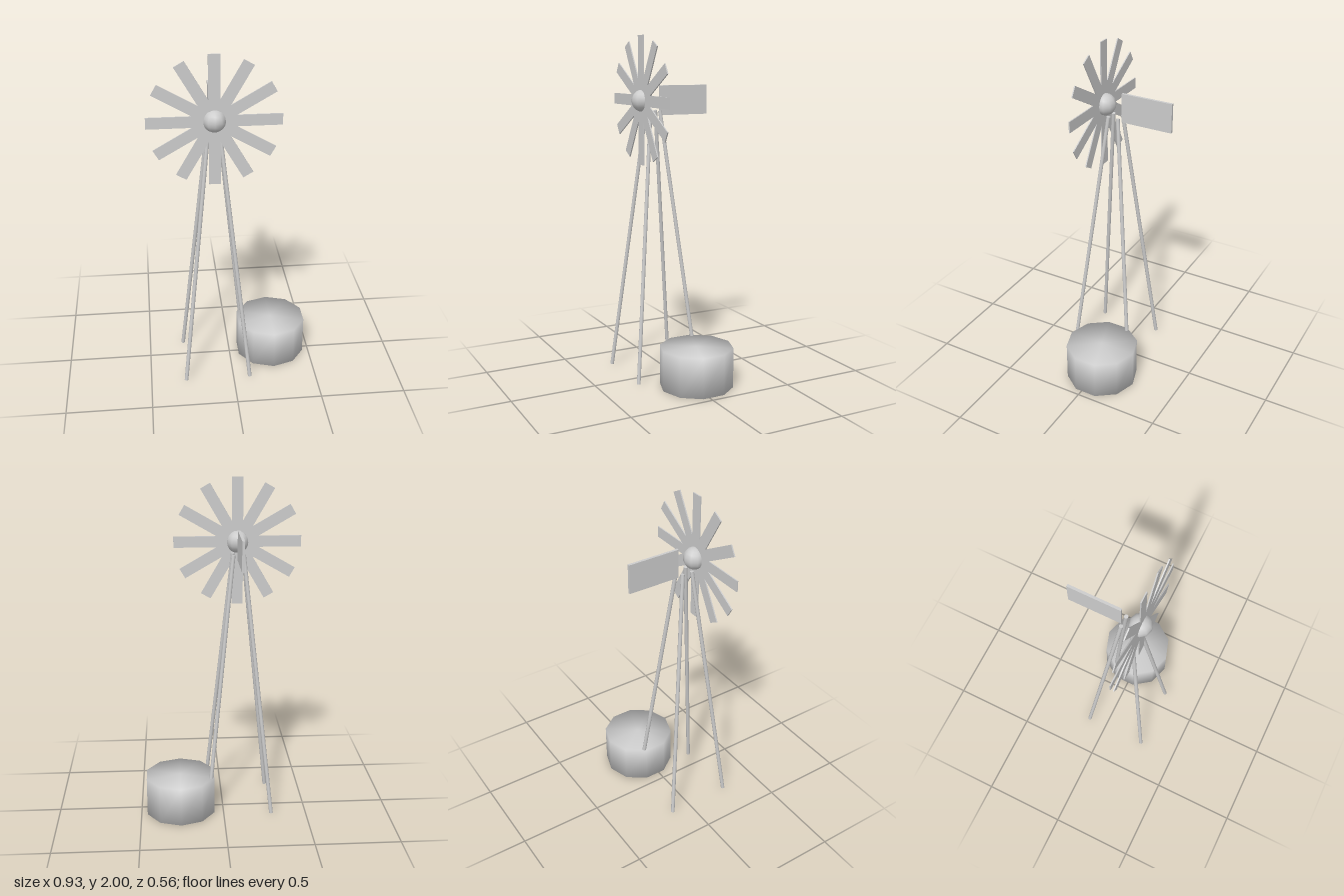
import * as THREE from 'three';
import { mergeVertices } from 'three/addons/utils/BufferGeometryUtils.js';

const grey = new THREE.MeshStandardMaterial({ color: 0xcccccc });
const AXIS_X = -0.095; // tower centre line
const TOWER_Z = 0.0725;
const HUB_Y = 1.63;

function addPart(parent, name, geometry, x = 0, y = 0, z = 0) {
  const mesh = new THREE.Mesh(geometry, grey);
  mesh.name = name;
  mesh.position.set(x, y, z);
  parent.add(mesh);
  return mesh;
}

// Shares the corners so that shading runs smoothly over the rims
function smoothAll(geometry) {
  geometry.deleteAttribute('normal');
  geometry.deleteAttribute('uv');
  const merged = mergeVertices(geometry);
  merged.computeVertexNormals();
  return merged;
}

export function createModel() {
  const model = new THREE.Group();
  model.name = 'windPump';

  // Four splayed tower legs
  const legs = new THREE.Group();
  legs.name = 'towerLegs';
  const up = new THREE.Vector3(0, 1, 0);
  for (const sx of [-1, 1]) {
    for (const sz of [-1, 1]) {
      const foot = new THREE.Vector3(AXIS_X + sx * 0.194, 0.002, TOWER_Z + sz * 0.194);
      const top = new THREE.Vector3(AXIS_X + sx * 0.03, 1.572, TOWER_Z + sz * 0.03);
      const along = top.clone().sub(foot);
      const leg = addPart(legs, 'towerLeg', new THREE.CylinderGeometry(0.0115, 0.0115, along.length(), 8));
      leg.position.copy(foot).add(top).multiplyScalar(0.5);
      leg.quaternion.setFromUnitVectors(up, along.normalize());
    }
  }
  model.add(legs);

  // Wheel: twelve flat blades made of six crossing slats
  const wheel = new THREE.Group();
  wheel.name = 'windWheel';
  wheel.position.set(AXIS_X, HUB_Y, 0.148);
  for (let i = 0; i < 6; i++) {
    const slat = addPart(wheel, 'bladePair', new THREE.BoxGeometry(0.065, 0.743, 0.007));
    slat.rotation.z = (i * Math.PI) / 6;
  }
  model.add(wheel);

  // Hub ball
  const hub = addPart(model, 'hub', new THREE.SphereGeometry(0.064, 10, 10), AXIS_X, HUB_Y, 0.14);
  hub.rotation.y = Math.PI / 2;

  // Tail vane behind the wheel
  addPart(model, 'tailVane', new THREE.BoxGeometry(0.015, 0.172, 0.31), AXIS_X, HUB_Y, -0.125);

  // Ten-sided water tank beside the tower
  const tank = smoothAll(new THREE.CylinderGeometry(0.214, 0.214, 0.235, 10));
  addPart(model, 'waterTank', tank, 0.26, 0.1175, -0.027);

  return model;
}
